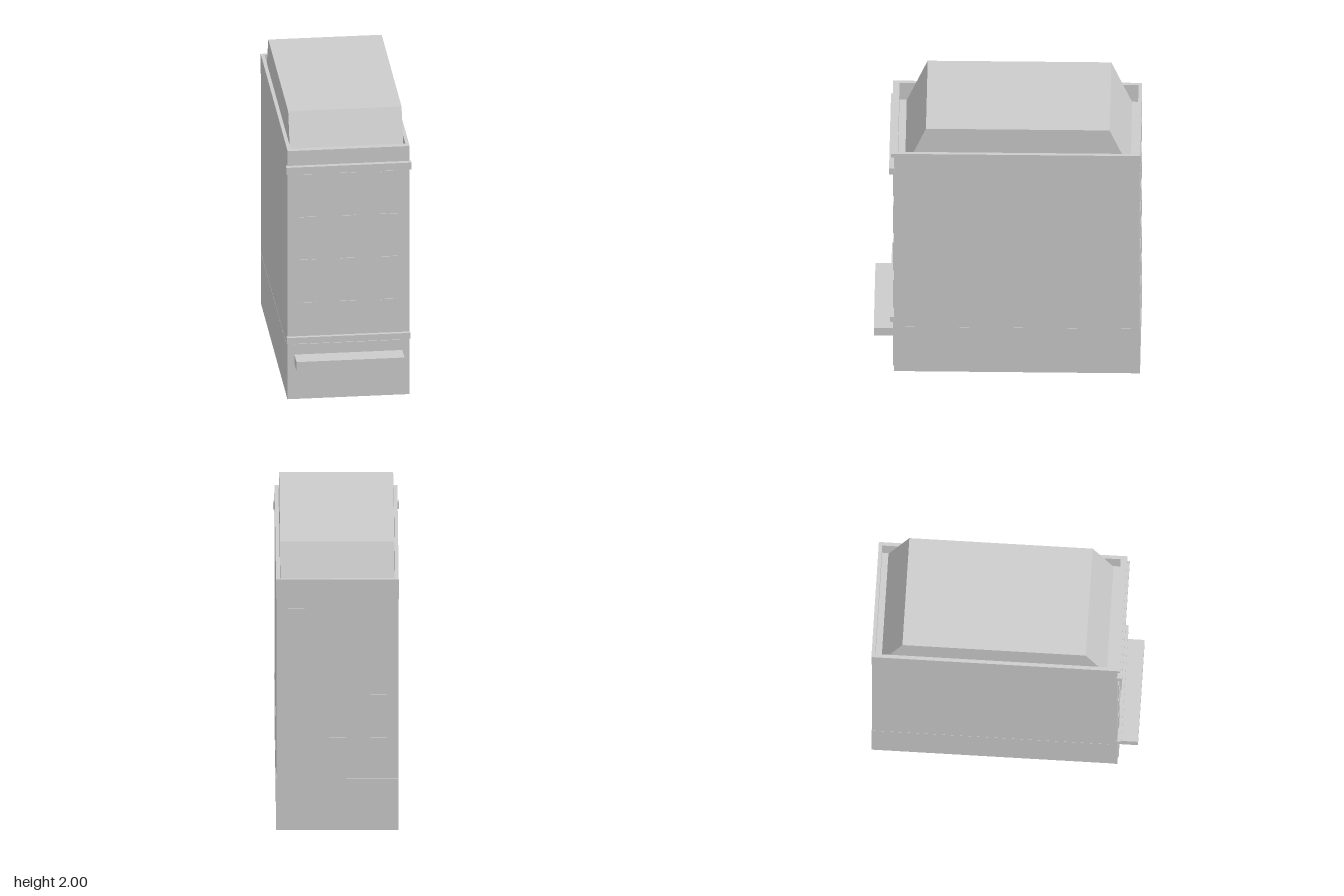
import * as THREE from 'three';

export function createModel() {
  const group = new THREE.Group();
  const stone = new THREE.MeshStandardMaterial({ color: 0xcccccc });
  stone.name = 'pale grey';

  // Box given by its min and max on each axis
  const box = (name, x0, x1, y0, y1, z0, z1) => {
    const mesh = new THREE.Mesh(new THREE.BoxGeometry(x1 - x0, y1 - y0, z1 - z0), stone);
    mesh.position.set((x0 + x1) / 2, (y0 + y1) / 2, (z0 + z1) / 2);
    mesh.name = name;
    group.add(mesh);
  };

  // Walls: ground floor, upper floors and a slightly proud facade
  const deck = 1.67, front = 0.756, back = -0.889;
  box('groundFloor', -0.409, 0.409, 0, 0.37, back, 0.70);
  box('upperFloors', -0.408, 0.408, 0.37, deck, back + 0.002, 0.70);
  box('facade', -0.41, 0.41, 0, deck, 0.70, front);

  // Parapet: a hollow rectangular rim around the roof deck
  const rim = new THREE.Shape([[-0.41, -front], [0.41, -front], [0.41, 0.891], [-0.41, 0.891]]
    .map(([x, y]) => new THREE.Vector2(x, y)));
  rim.holes.push(new THREE.Path([[-0.386, -0.73], [-0.386, 0.867], [0.386, 0.867], [0.386, -0.73]]
    .map(([x, y]) => new THREE.Vector2(x, y))));
  const rimGeometry = new THREE.ExtrudeGeometry(rim, { depth: 1.81 - deck, bevelEnabled: false });
  rimGeometry.rotateX(-Math.PI / 2);
  const parapet = new THREE.Mesh(rimGeometry, stone);
  parapet.position.y = deck;
  parapet.name = 'parapet';
  group.add(parapet);

  // Roof block with sloping front and back, extruded across x
  const profile = new THREE.Shape([[-0.682, deck], [0.825, deck], [0.685, 2], [-0.542, 2]]
    .map(([x, y]) => new THREE.Vector2(x, y)));
  const roofGeometry = new THREE.ExtrudeGeometry(profile, { depth: 0.762, bevelEnabled: false });
  roofGeometry.translate(0, 0, -0.381);
  roofGeometry.rotateY(Math.PI / 2);
  const roof = new THREE.Mesh(roofGeometry, stone);
  roof.name = 'slopedRoof';
  group.add(roof);

  // Front mouldings and shop awning
  box('topCornice', -0.41, 0.41, 1.78, 1.81, front, 0.774);
  box('upperBand', -0.42, 0.42, 1.645, 1.695, 0.75, 0.788);
  box('lowerBand', -0.415, 0.415, 0.415, 0.455, 0.75, 0.781);
  box('awning', -0.363, 0.363, 0.26, 0.325, front, 0.891);
  box('shopFront', -0.365, 0.365, 0.012, 0.40, front, front + 0.006);

  // Four rows of three windows, taller on the front than on the back
  for (let row = 0; row < 4; row++) {
    for (const x of [-0.273, 0, 0.273]) {
      const top = 1.63 - row * 0.31;
      box('frontWindow', x - 0.056, x + 0.056, top - 0.23, top, front, front + 0.006);
      box('backWindow', x - 0.056, x + 0.056, top - 0.17, top - 0.03, -0.891, back + 0.002);
    }
  }
  return group;
}
